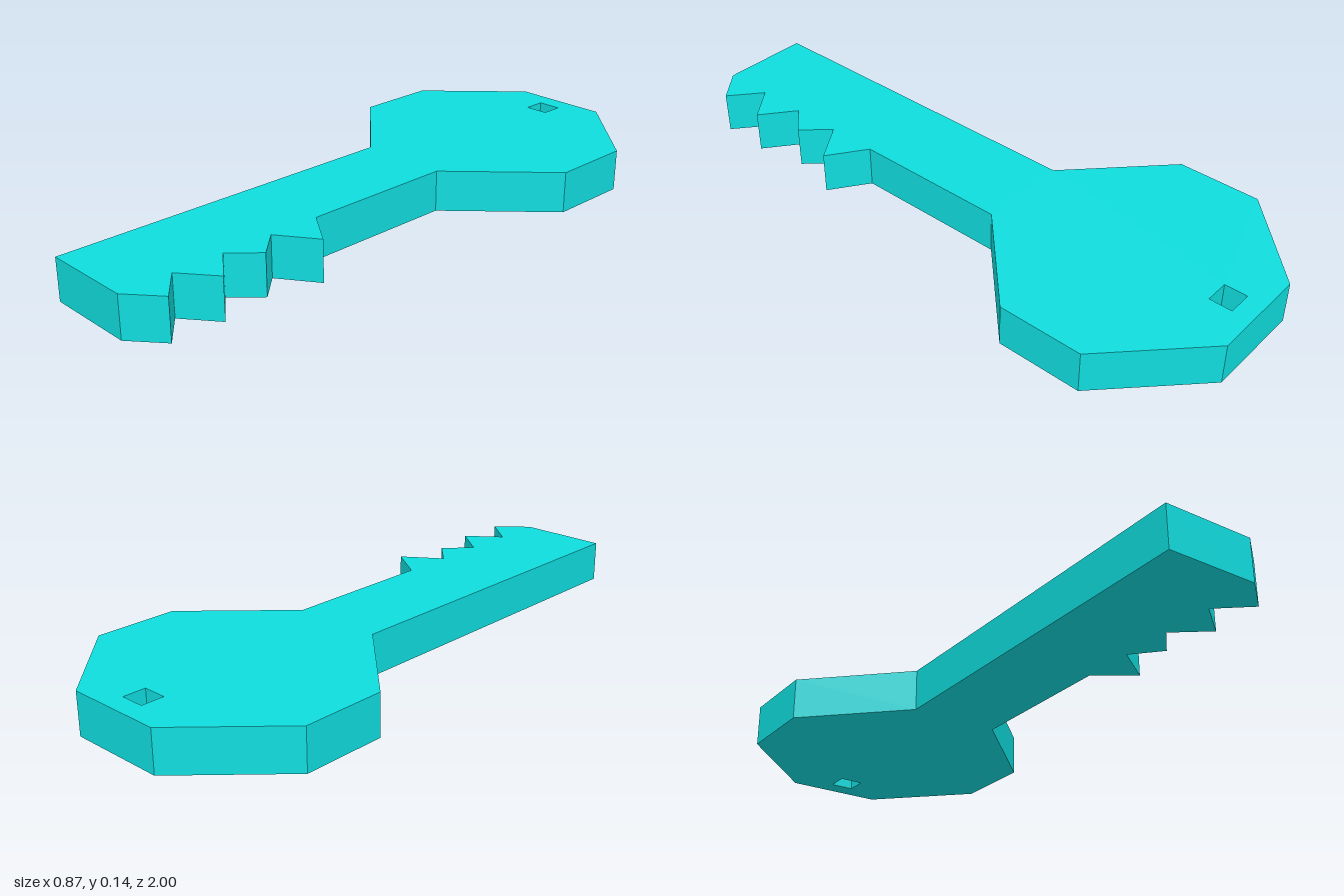
import * as THREE from 'three';

const HEIGHT = 0.135;
const SHAFT = 0.147; // half width of the shaft

export function createModel() {
  const group = new THREE.Group();
  group.name = 'key';
  const turquoise = new THREE.MeshStandardMaterial({ color: 0x10dcde });
  turquoise.name = 'turquoise';

  // Outline in plan (x, z): octagonal bow, then the shaft with teeth on its left edge
  const outline = [
    [-0.16, -1], [0.16, -1], [0.436, -0.732], [0.436, -0.46], [SHAFT, -0.18],
  ];
  const toothTips = [0.27, 0.225, 0.255, 0.248];
  const start = 0.328, pitch = (1 - start) / toothTips.length;
  outline.push([SHAFT, start]);
  toothTips.forEach((tip, i) => {
    outline.push([tip, start + (i + 0.5) * pitch], [SHAFT, start + (i + 1) * pitch]);
  });
  outline.push([-SHAFT, 1], [-SHAFT, -0.18], [-0.436, -0.46], [-0.436, -0.732]);

  const toPoints = (list) => list.map(([x, z]) => new THREE.Vector2(x, z));
  const shape = new THREE.Shape(toPoints(outline));

  // Square hole for a key ring
  shape.holes.push(new THREE.Path(toPoints([
    [-0.04, -0.938], [-0.04, -0.865], [0.038, -0.865], [0.038, -0.938],
  ])));

  // Lay the extrusion flat, standing on the ground
  const geometry = new THREE.ExtrudeGeometry(shape, { depth: HEIGHT, bevelEnabled: false });
  geometry.rotateX(Math.PI / 2).translate(0, HEIGHT, 0);

  const body = new THREE.Mesh(geometry, turquoise);
  body.name = 'keyBody';
  group.add(body);
  return group;
}
